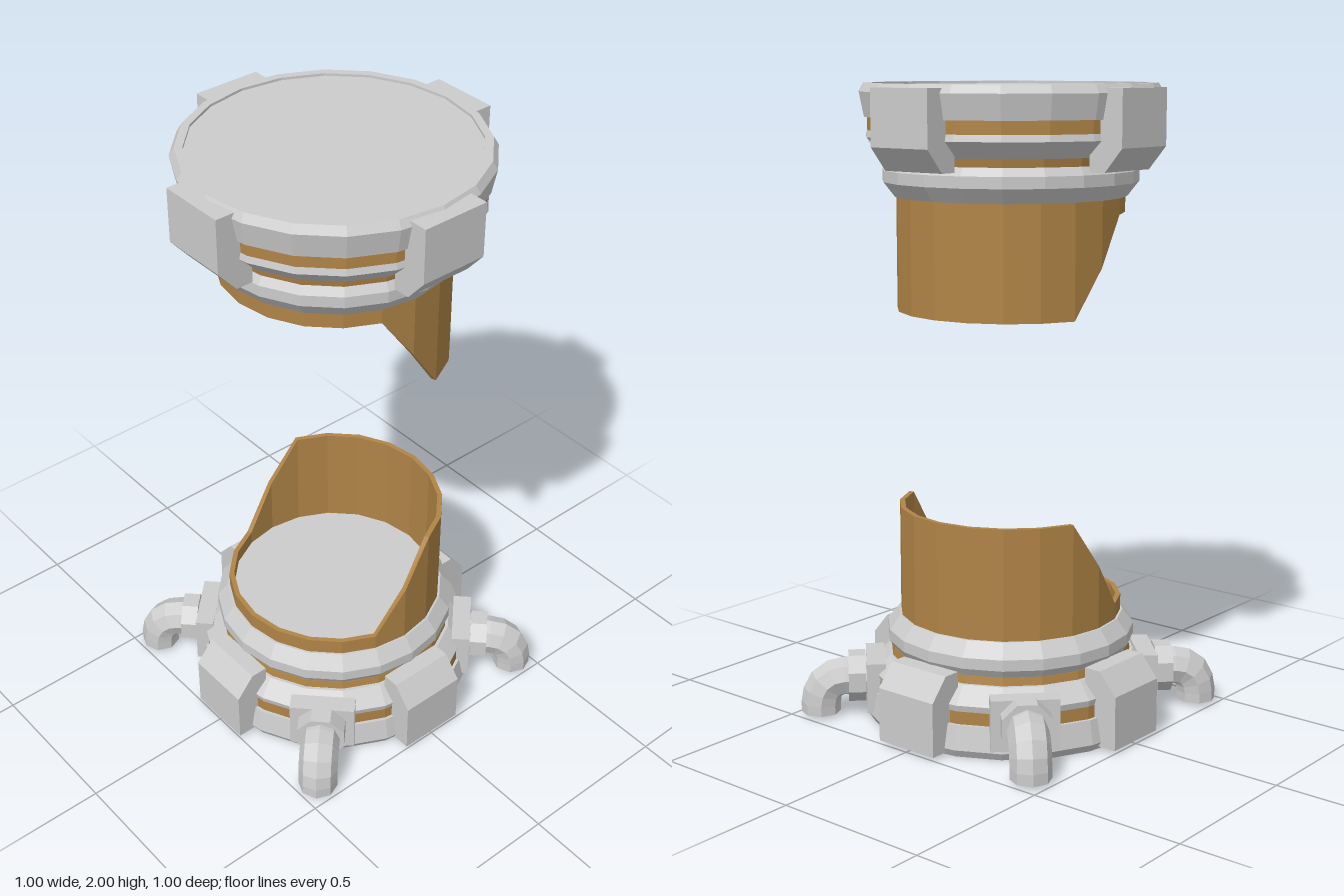
import * as THREE from 'three';

const SIDES = 20;
const grey = new THREE.MeshStandardMaterial({ color: 0xcccccc, flatShading: true });
const amber = new THREE.MeshStandardMaterial({ color: 0xb08446, flatShading: true });

function add(parent, name, geometry, material = grey) {
  const mesh = new THREE.Mesh(geometry, material);
  mesh.name = name;
  parent.add(mesh);
  return mesh;
}

// Solid ring: outer profile listed bottom to top, closed by an inner wall
function ring(outer, inner) {
  const low = outer[0], high = outer[outer.length - 1];
  const pts = [...outer, [inner[1], high[1]], [inner[0], low[1]], low];
  return new THREE.LatheGeometry(pts.map(([x, y]) => new THREE.Vector2(x, y)), SIDES);
}

// Thin tube wall whose top edge is low in front, ramps at the sides and is high behind
function brokenTube() {
  const geo = ring([[0.353, 0.32], [0.353, 0.69]], [0.337, 0.337]);
  const p = geo.attributes.position;
  for (let i = 0; i < p.count; i++) {
    if (p.getY(i) < 0.5) continue;
    const s = p.getZ(i) / Math.hypot(p.getX(i), p.getZ(i));
    const t = THREE.MathUtils.clamp((0.309 - s) / 0.618, 0, 1);
    p.setY(i, 0.39 + 0.3 * t);
  }
  geo.computeVertexNormals();
  return geo;
}

function disc(radius, bottom, top) {
  return new THREE.CylinderGeometry(radius, radius, top - bottom, SIDES).translate(0, (top + bottom) / 2, 0);
}

// One end of the capsule: stacked collars, brown seams, four clamps and the tube
function createEnd(name) {
  const end = new THREE.Group();
  end.name = name;
  add(end, 'outerCollar', ring([[0.45, 0], [0.465, 0.025], [0.45, 0.1]], [0.425, 0.425]));
  add(end, 'lowerSeam', ring([[0.44, 0.1], [0.44, 0.14]], [0.41, 0.41]), amber);
  add(end, 'middleCollar', ring([[0.44, 0.14], [0.445, 0.16], [0.395, 0.21]], [0.41, 0.37]));
  add(end, 'upperSeam', ring([[0.385, 0.21], [0.38, 0.235]], [0.36, 0.36]), amber);
  add(end, 'neckCollar', ring([[0.375, 0.23], [0.395, 0.26], [0.395, 0.295], [0.36, 0.34]], [0.345, 0.335]));
  add(end, 'brokenTube', brokenTube(), amber);
  add(end, 'tubeFloor', disc(0.337, 0.335, 0.345));
  add(end, 'tubeUnderside', disc(0.345, 0.325, 0.335), amber);

  const profile = new THREE.Shape([
    [0.41, 0.01], [0.5, 0.01], [0.5, 0.18], [0.44, 0.25], [0.385, 0.25], [0.385, 0.2], [0.41, 0.16],
  ].map(([x, y]) => new THREE.Vector2(x, y)));
  const clamp = new THREE.ExtrudeGeometry(profile, { depth: 0.22, bevelEnabled: false }).translate(0, 0, -0.11);
  for (let i = 0; i < 4; i++) add(end, 'clamp', clamp).rotation.y = i * Math.PI / 2;
  return end;
}

// Elbow pipe running out along +x and turning down to the ground
function createPipe() {
  const pipe = new THREE.Group();
  pipe.name = 'elbowPipe';
  const v = (x, y) => new THREE.Vector3(x, y, 0);
  const path = new THREE.CurvePath();
  path.add(new THREE.LineCurve3(v(0.44, 0.125), v(0.53, 0.125)));
  path.add(new THREE.QuadraticBezierCurve3(v(0.53, 0.125), v(0.607, 0.125), v(0.612, 0.04)));
  path.add(new THREE.LineCurve3(v(0.612, 0.04), v(0.612, 0.01)));
  add(pipe, 'elbow', new THREE.TubeGeometry(path, 8, 0.063, 8));
  add(pipe, 'pipeEnd', new THREE.CylinderGeometry(0.062, 0.062, 0.008, 8).translate(0.612, 0.014, 0));
  add(pipe, 'flange', new THREE.CylinderGeometry(0.082, 0.082, 0.055, 8)
    .rotateY(Math.PI / 8).rotateZ(Math.PI / 2).translate(0.495, 0.125, 0));
  add(pipe, 'mountPlate', new THREE.BoxGeometry(0.06, 0.16, 0.21).translate(0.435, 0.115, 0));
  return pipe;
}

export function createModel() {
  const model = new THREE.Group();
  model.name = 'brokenCapsule';

  const base = createEnd('base');
  for (let i = 0; i < 4; i++) {
    const pipe = createPipe();
    pipe.rotation.y = Math.PI / 4 + i * Math.PI / 2;
    base.add(pipe);
  }
  model.add(base);

  // The cap is the same end turned upside down, closed by a lid
  const cap = createEnd('cap');
  add(cap, 'lid', disc(0.427, 0.008, 0.03));
  cap.rotation.z = Math.PI;
  cap.position.y = 2;
  model.add(cap);
  return model;
}
